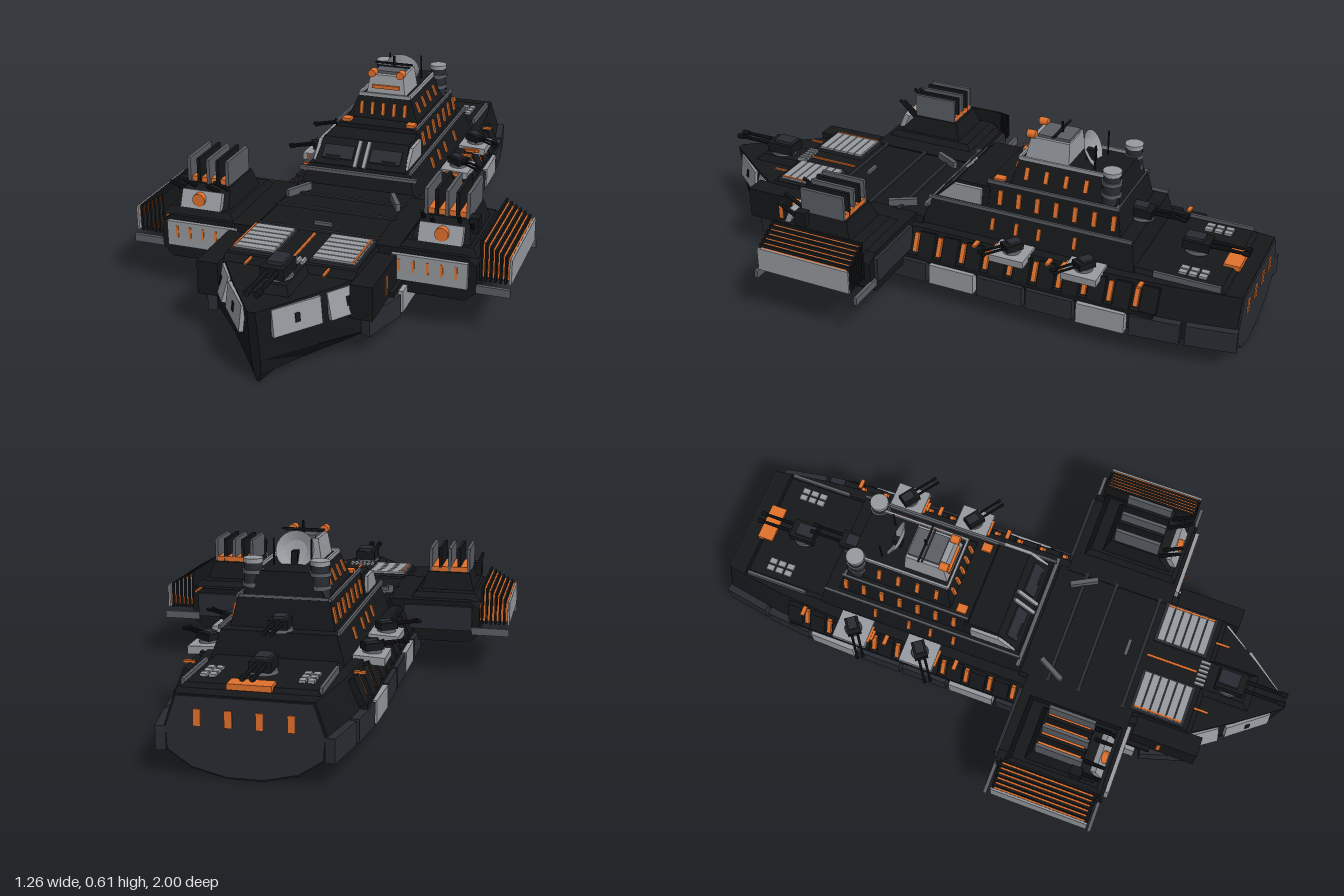
import * as THREE from 'three';

const mat = (color) => new THREE.MeshStandardMaterial({ color, flatShading: true, roughness: 0.8 });
const dark = mat(0x15171a), panel = mat(0x282b31), steel = mat(0x5a5d63), light = mat(0x96999e), orange = mat(0xe0702c);

// Half-width factor of the hull along z, linear between stations
const stations = [[-1, 0.82], [-0.8, 0.94], [-0.6, 1], [0.55, 1], [0.7, 0.88], [0.85, 0.47], [0.99, 0.05]];
const section = [[0.065, 0], [0.19, 0.025], [0.28, 0.075], [0.285, 0.145], [0.245, 0.24]];
function widthAt(z) {
  const i = Math.max(1, stations.findIndex((s) => s[0] >= z));
  const [a, wa] = stations[i - 1], [b, wb] = stations[i];
  return wa + (wb - wa) * (z - a) / (b - a);
}

export function createModel() {
  const root = new THREE.Group();
  root.name = 'warship';
  const both = (fn) => [1, -1].forEach(fn);

  function add(name, geo, m, x, y, z, rx = 0, ry = 0, rz = 0, parent = root) {
    const mesh = new THREE.Mesh(geo, m);
    mesh.name = name;
    mesh.position.set(x, y, z);
    mesh.rotation.set(rx, ry, rz);
    parent.add(mesh);
    return mesh;
  }
  const box = (name, m, w, h, d, x, y, z, rx, ry, rz, parent) =>
    add(name, new THREE.BoxGeometry(w, h, d), m, x, y, z, rx, ry, rz, parent);
  const cyl = (name, m, r1, r2, h, x, y, z, rx, ry, rz, parent, n = 16) =>
    add(name, new THREE.CylinderGeometry(r1, r2, h, n), m, x, y, z, rx, ry, rz, parent);
  // Box standing on y0 whose top shrinks by tx, and by front and back insets
  function tier(name, m, w, y0, y1, z0, z1, tx = 0, front = 0, back = 0, x = 0) {
    const g = new THREE.BoxGeometry(w, y1 - y0, z1 - z0), p = g.attributes.position;
    for (let i = 0; i < p.count; i++) if (p.getY(i) > 0) {
      p.setX(i, p.getX(i) * (1 - 2 * tx / w));
      p.setZ(i, p.getZ(i) + (p.getZ(i) > 0 ? -front : back));
    }
    return add(name, g, m, x, (y0 + y1) / 2, (z0 + z1) / 2);
  }

  // Hull lofted through its stations
  const ring = [...section, ...section.slice().reverse().map(([x, y]) => [-x, y])];
  const n = ring.length, pos = [], idx = [];
  for (const [z, w] of stations) for (const [x, y] of ring)
    pos.push(x * w, y, z - (z > 0.8 ? (0.24 - y) * 0.13 : 0));
  for (let s = 0; s < stations.length - 1; s++) for (let i = 0; i < n; i++) {
    const a = s * n + i, b = s * n + (i + 1) % n;
    idx.push(a, b, b + n, a, b + n, a + n);
  }
  const last = (stations.length - 1) * n;
  for (let i = 1; i < n - 1; i++) idx.push(0, i + 1, i, last, last + i, last + i + 1);
  const hullGeo = new THREE.BufferGeometry();
  hullGeo.setAttribute('position', new THREE.Float32BufferAttribute(pos, 3));
  hullGeo.setIndex(idx);
  const flatHull = hullGeo.toNonIndexed();
  flatHull.computeVertexNormals();
  add('hull', flatHull, dark, 0, 0, 0);

  // Stern plate and lit windows
  const plate = new THREE.Shape(ring.map(([x, y]) => new THREE.Vector2(x * 0.8, 0.005 + y * 0.96)));
  add('sternPlate', new THREE.ExtrudeGeometry(plate, { depth: 0.006, bevelEnabled: false }), panel, 0, 0, -1.005);
  for (let i = 0; i < 4; i++) box('sternWindow', orange, 0.022, 0.05, 0.01, -0.135 + i * 0.09, 0.175, -1.004);

  // Plating and windows along the hull sides
  const slope = Math.atan2(0.04, 0.095);
  both((s) => {
    for (let i = 0; i < 10; i++) {
      const z = 0.652 - i * 0.1755, w = widthAt(z);
      const turn = -Math.atan2(0.285 * (widthAt(z + 0.07) - widthAt(z - 0.07)), 0.14);
      box('sidePlate', i % 3 === 1 ? light : panel, 0.03, 0.072, 0.162, s * (0.285 * w + 0.01), 0.108, z, 0, -s * turn, 0);
    }
    for (let i = 0; i < 10; i++) {
      const z = 0.097 - i * 0.0865, w = widthAt(z);
      box('sideWindow', orange, 0.012, 0.066, 0.015, s * (0.267 * w + 0.003), 0.195, z, 0, 0, s * slope);
      box('sideArmour', dark, 0.02, 0.084, 0.055, s * (0.267 * w + 0.004), 0.195, z - 0.043, 0, 0, s * slope);
    }
    box('sideRail', dark, 0.02, 0.02, 1.35, s * 0.285, 0.15, -0.07);
    box('bowCheek', dark, 0.07, 0.11, 0.23, s * 0.245, 0.195, 0.645);
    box('bowCheekWindow', orange, 0.074, 0.065, 0.014, s * 0.245, 0.195, 0.63);
    // Light bow plates lying on the converging sides
    [[0.755, 0.12], [0.895, 0.14]].forEach(([z, len]) => {
      const w = widthAt(z), x = 0.266 * w;
      const turn = Math.atan2(0.266 * (widthAt(z + 0.06) - widthAt(z - 0.06)), 0.12);
      const g = new THREE.Group();
      g.name = 'bowPlate';
      g.position.set(s * (x + 0.006), 0.192, z - 0.006);
      g.rotation.set(0, s * turn, s * slope * w, 'YXZ');
      root.add(g);
      box('bowPlatePanel', light, 0.014, 0.084, len * 1.15, 0, 0, 0, 0, 0, 0, g);
      box('bowPort', dark, 0.02, 0.028, 0.016, 0, 0, 0, 0, 0, 0, g);
    });
  });

  // Twin-gun turret facing +z before turning
  function turret(x, y, z, yaw, k = 1) {
    const g = new THREE.Group();
    g.name = 'gunTurret';
    g.position.set(x, y, z);
    g.rotation.y = yaw;
    g.scale.setScalar(k);
    root.add(g);
    cyl('turretRing', steel, 0.045, 0.05, 0.015, 0, 0.007, 0, 0, 0, 0, g);
    box('turretHouse', dark, 0.075, 0.035, 0.1, 0, 0.032, 0, 0, 0, 0, g);
    box('turretRoof', panel, 0.05, 0.012, 0.07, 0, 0.055, -0.01, 0, 0, 0, g);
    both((s) => {
      cyl('gunBarrel', dark, 0.006, 0.008, 0.15, s * 0.016, 0.037, 0.115, Math.PI / 2, 0, 0, g, 8);
      cyl('muzzle', dark, 0.01, 0.01, 0.025, s * 0.016, 0.037, 0.18, Math.PI / 2, 0, 0, g, 8);
    });
  }

  // Foredeck with hatches
  tier('foredeck', dark, 0.44, 0.235, 0.262, 0.1, 0.72, 0.01, 0.02);
  tier('bowTurretBase', dark, 0.14, 0.235, 0.262, 0.7, 0.88, 0.02, 0.03);
  turret(0, 0.255, 0.79, 0);
  box('deckLight', orange, 0.008, 0.006, 0.18, 0, 0.264, 0.58);
  for (let i = 0; i < 6; i++) box('deckVent', light, 0.009, 0.02, 0.035, -0.04 + i * 0.016, 0.262, 0.69);
  box('deckBar', steel, 0.06, 0.012, 0.012, 0, 0.266, 0.42);
  [0.2, 0.31, 0.47].forEach((z) => box('deckSeam', panel, 0.42, 0.008, 0.012, 0, 0.264, z));
  both((s) => {
    box('hatch', panel, 0.15, 0.014, 0.19, s * 0.13, 0.264, 0.59);
    for (let i = 0; i < 6; i++) box('hatchSlat', light, 0.135, 0.012, 0.025, s * 0.13, 0.272, 0.517 + i * 0.029);
    box('hatchLight', orange, 0.006, 0.014, 0.17, s * 0.192, 0.273, 0.59);
    box('deckArm', steel, 0.016, 0.025, 0.1, s * 0.17, 0.275, 0.2, 0, s * 0.5, 0);
    box('bowDeckLight', orange, 0.008, 0.006, 0.05, s * 0.125, 0.258, 0.725);
  });

  // Side sponsons with finned radiators and plate batteries
  const prof = [[0.2, 0.12], [0.49, 0.12], [0.525, 0.15], [0.525, 0.24], [0.49, 0.266], [0.2, 0.266]];
  both((s) => {
    const shape = new THREE.Shape(prof.map(([x, y]) => new THREE.Vector2(s * x, y)));
    const body = new THREE.ExtrudeGeometry(shape, { depth: 0.38, bevelEnabled: false });
    add('sponson', body, dark, 0, 0, 0.13);
    box('sponsonFace', light, 0.24, 0.085, 0.02, s * 0.38, 0.207, 0.513);
    box('sponsonBack', panel, 0.24, 0.085, 0.02, s * 0.38, 0.207, 0.127);
    for (let i = 0; i < 5; i++) box('sponsonWindow', orange, 0.008, 0.04, 0.01, s * (0.285 + i * 0.045), 0.215, 0.52);
    both((e) => box('radiatorArm', steel, 0.13, 0.026, 0.012, s * 0.565, 0.163, 0.315 + e * 0.187));
    box('radiatorCore', orange, 0.095, 0.055, 0.31, s * 0.57, 0.22, 0.32);
    for (let i = 0; i < 7; i++) {
      const h = 0.135 - i * 0.009;
      box('radiatorFin', i === 6 ? light : dark, 0.007, h, 0.34, s * (0.532 + i * 0.0155), 0.185 + h / 2, 0.32);
      if (i < 6) box('radiatorGlow', orange, 0.006, h - 0.02, 0.32, s * (0.54 + i * 0.0155), 0.185 + h / 2, 0.32);
    }
    // Battery
    tier('batteryPlinth', dark, 0.25, 0.262, 0.285, 0.16, 0.5, 0.02, 0.02, 0.02, s * 0.4);
    tier('batteryBase', dark, 0.19, 0.28, 0.345, 0.22, 0.47, 0.02, 0.06, 0.02, s * 0.4);
    box('batteryFace', light, 0.14, 0.06, 0.02, s * 0.4, 0.31, 0.462, -0.4, 0, 0);
    cyl('batteryLamp', orange, 0.022, 0.022, 0.03, s * 0.405, 0.315, 0.467, Math.PI / 2, 0, 0);
    box('batteryCore', orange, 0.13, 0.025, 0.15, s * 0.4, 0.35, 0.325);
    for (let i = 0; i < 5; i++)
      box('batteryPlate', i % 2 ? dark : steel, 0.011, 0.095, 0.16, s * (0.335 + i * 0.0335), 0.382, 0.33);
    [0.335, 0.365, 0.45, 0.49].forEach((x, i) =>
      cyl('lightGun', dark, 0.006, 0.008, 0.11, s * x, 0.355 - (i % 2) * 0.015, 0.44, 0.95, 0, s * -0.15, root, 8));
    box('gunMount', dark, 0.03, 0.05, 0.04, s * 0.49, 0.33, 0.4);
    // Belly lights and keel rib
    for (let i = 0; i < 3; i++) box('sponsonBellyLight', orange, 0.012, 0.008, 0.2, s * (0.36 + i * 0.045), 0.119, 0.32);
  });

  // Superstructure tiers
  tier('lowerTier', dark, 0.42, 0.235, 0.327, -0.65, 0.11, 0.03, 0.03, 0.02);
  tier('bridge', dark, 0.33, 0.32, 0.4, -0.12, 0.08, 0.012, 0.08);
  tier('middleTier', dark, 0.33, 0.32, 0.415, -0.585, -0.1, 0.02, 0.01, 0.02);
  tier('upperTier', dark, 0.26, 0.41, 0.495, -0.565, -0.18, 0.035, 0.02, 0.02);
  tier('cabin', light, 0.145, 0.49, 0.565, -0.365, -0.21, 0.012, 0.015, 0.005);
  box('cabinWindow', orange, 0.1, 0.012, 0.012, 0, 0.525, -0.215);
  box('cabinRoof', steel, 0.1, 0.014, 0.11, 0, 0.568, -0.3);
  box('roofSeam', panel, 0.125, 0.004, 0.006, 0, 0.577, -0.3);
  box('bridgeTrim', steel, 0.42, 0.012, 0.014, 0, 0.31, 0.09);
  for (let i = 0; i < 5; i++) box('upperFrontWindow', orange, 0.011, 0.045, 0.01, -0.08 + i * 0.04, 0.452, -0.186, -0.2, 0, 0);
  both((s) => {
    box('bridgeStripe', light, 0.012, 0.1, 0.012, s * 0.016, 0.362, 0.043, -0.78, 0, 0);
    box('bridgeWindow', panel, 0.11, 0.05, 0.01, s * 0.085, 0.362, 0.042, -0.78, 0, 0);
    tier('bridgeSide', light, 0.012, 0.333, 0.392, -0.095, 0.065, 0, 0.06, 0, s * 0.164);
    [-0.15, -0.235, -0.315, -0.44].forEach((z) => box('lowerWindow', orange, 0.012, 0.04, 0.012, s * 0.194, 0.287, z, 0, 0, s * 0.3));
    for (let i = 0; i < 7; i++) box('middleWindow', orange, 0.01, 0.05, 0.015, s * 0.156, 0.37, -0.16 - i * 0.066, 0, 0, s * 0.2);
    for (let i = 0; i < 5; i++) box('upperWindow', orange, 0.01, 0.042, 0.014, s * 0.112, 0.455, -0.235 - i * 0.069, 0, 0, s * 0.4);
    box('lowerRail', steel, 0.008, 0.012, 0.72, s * 0.185, 0.333, -0.27);
    box('middleRail', steel, 0.008, 0.01, 0.46, s * 0.145, 0.418, -0.34);
    box('upperRail', light, 0.008, 0.012, 0.32, s * 0.092, 0.499, -0.36);
    box('tierLamp', orange, 0.03, 0.014, 0.035, s * 0.118, 0.418, -0.142);
    cyl('cabinLamp', orange, 0.014, 0.014, 0.03, s * 0.052, 0.572, -0.225, Math.PI / 2, 0, 0);
    box('bridgeFoot', panel, 0.05, 0.03, 0.06, s * 0.1, 0.34, 0.03);
    // Funnels
    cyl('funnel', panel, 0.028, 0.032, 0.12, s * 0.105, 0.46, -0.525);
    [0.45, 0.49].forEach((y) => cyl('funnelBand', steel, 0.034, 0.034, 0.012, s * 0.105, y, -0.525));
    cyl('funnelCap', light, 0.031, 0.031, 0.014, s * 0.105, 0.524, -0.525);
    // Side gun platforms
    [-0.5, -0.25].forEach((z) => {
      box('gunPlatform', light, 0.1, 0.025, 0.12, s * 0.262, 0.236, z, 0, 0, s * -0.05);
      turret(s * 0.262, 0.248, z, s * 0.95, 0.62);
      box('platformLight', orange, 0.06, 0.012, 0.01, s * 0.262, 0.238, z + 0.063);
    });
  });
  box('upperRearRail', light, 0.19, 0.012, 0.008, 0, 0.499, -0.2);
  box('middleRearRail', steel, 0.29, 0.01, 0.008, 0, 0.418, -0.56);

  // Mast, antennas and dish
  cyl('mast', dark, 0.004, 0.006, 0.08, 0, 0.572, -0.31, 0, 0, 0, root, 8);
  box('mastYard', dark, 0.14, 0.006, 0.006, 0, 0.585, -0.31);
  both((s) => cyl('antenna', dark, 0.003, 0.003, 0.09, s * 0.06, 0.535, -0.45, 0, 0, 0, root, 6));
  const dish = new THREE.LatheGeometry([[0.001, 0], [0.035, 0.006], [0.062, 0.022]].map(([x, y]) => new THREE.Vector2(x, y)), 20);
  const dishMat = light.clone();
  dishMat.side = THREE.DoubleSide;
  add('dish', dish, dishMat, 0, 0.53, -0.4, -1.15, 0, 0);
  box('dishStand', dark, 0.02, 0.05, 0.03, 0, 0.51, -0.415);

  // Aft deck
  turret(0, 0.325, -0.6, Math.PI, 0.8);
  tier('aftDeck', dark, 0.42, 0.235, 0.252, -0.95, -0.64, 0.02, 0, 0.02);
  turret(0, 0.25, -0.795, Math.PI, 0.9);
  box('aftLamp', orange, 0.13, 0.018, 0.055, 0, 0.252, -0.925);
  both((s) => {
    for (let i = 0; i < 6; i++)
      box('aftHatch', light, 0.02, 0.01, 0.026, s * (0.132 + (i % 2) * 0.026), 0.255, -0.86 + Math.floor(i / 2) * 0.033);
    box('aftRail', steel, 0.01, 0.02, 0.22, s * 0.2, 0.25, -0.82);
    [-0.69, -0.43, -0.38, -0.12].forEach((z) => box('deckEdgeLamp', orange, 0.035, 0.008, 0.014, s * 0.262, 0.238, z));
  });
  return root;
}
